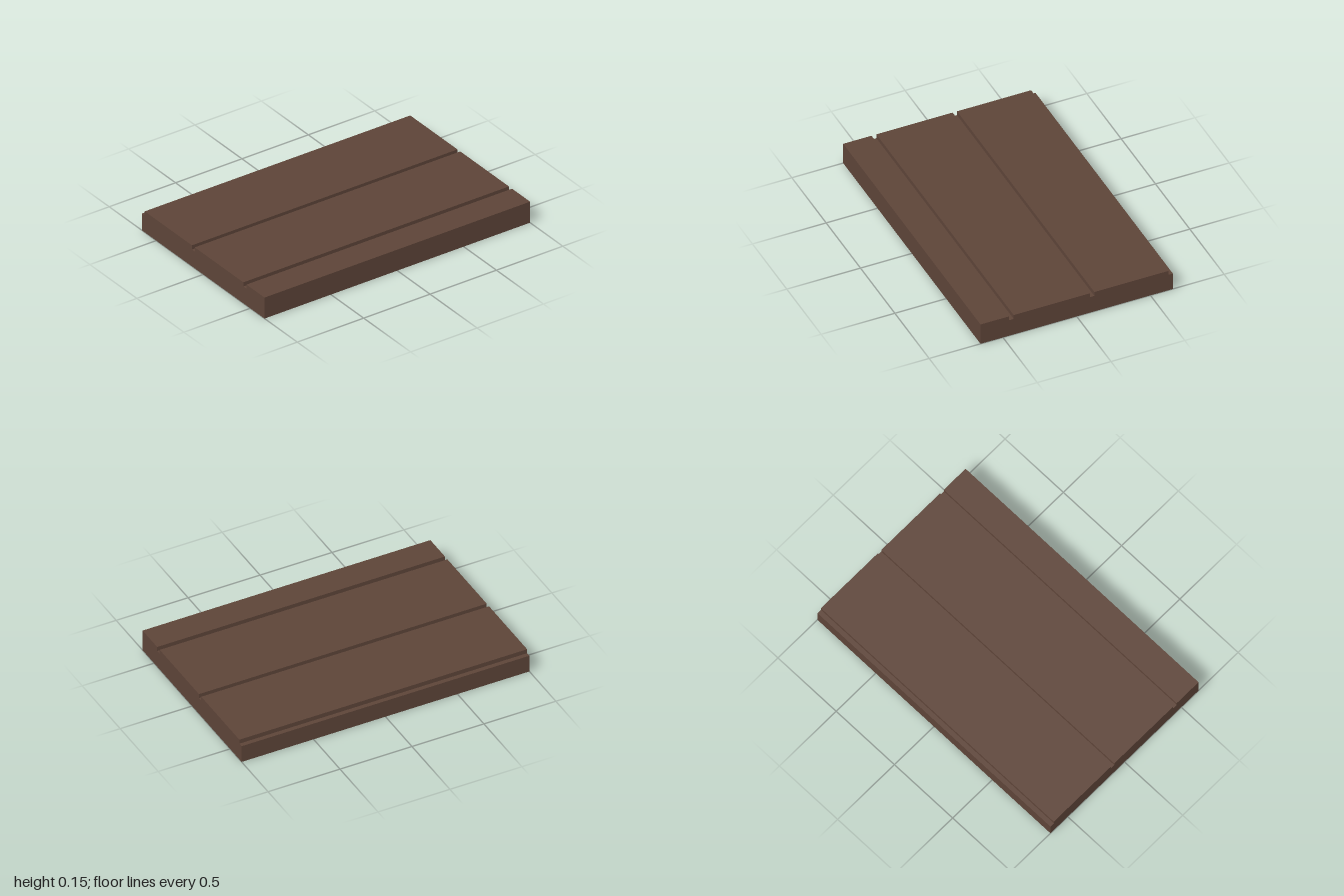
import * as THREE from 'three';

export function createModel() {
  const model = new THREE.Group();
  model.name = 'groovedPanel';
  const brown = new THREE.MeshStandardMaterial({ color: 0x5d4438 });
  brown.name = 'dark brown wood';

  const left = -0.652, right = 0.652, top = 0.15, grooveFloor = 0.12, length = 2;
  // Grooves between the planks, as [start, end] along x
  const grooves = [[-0.12, -0.09], [0.427, 0.46]];

  // Cross-section: flat base, stepped edge on one side, grooves cut in the top
  const section = new THREE.Shape();
  section.moveTo(left, 0);
  section.lineTo(right, 0);
  section.lineTo(right, top);
  for (const [start, end] of [...grooves].reverse()) {
    section.lineTo(end, top);
    section.lineTo(end, grooveFloor);
    section.lineTo(start, grooveFloor);
    section.lineTo(start, top);
  }
  section.lineTo(-0.622, top);
  section.lineTo(-0.622, grooveFloor);
  section.lineTo(left, grooveFloor);
  section.closePath();

  // Run the section along the length of the panel
  const geometry = new THREE.ExtrudeGeometry(section, { depth: length, bevelEnabled: false });
  geometry.translate(0, 0, -length / 2);
  const panel = new THREE.Mesh(geometry, brown);
  panel.name = 'plankPanel';
  model.add(panel);
  return model;
}
